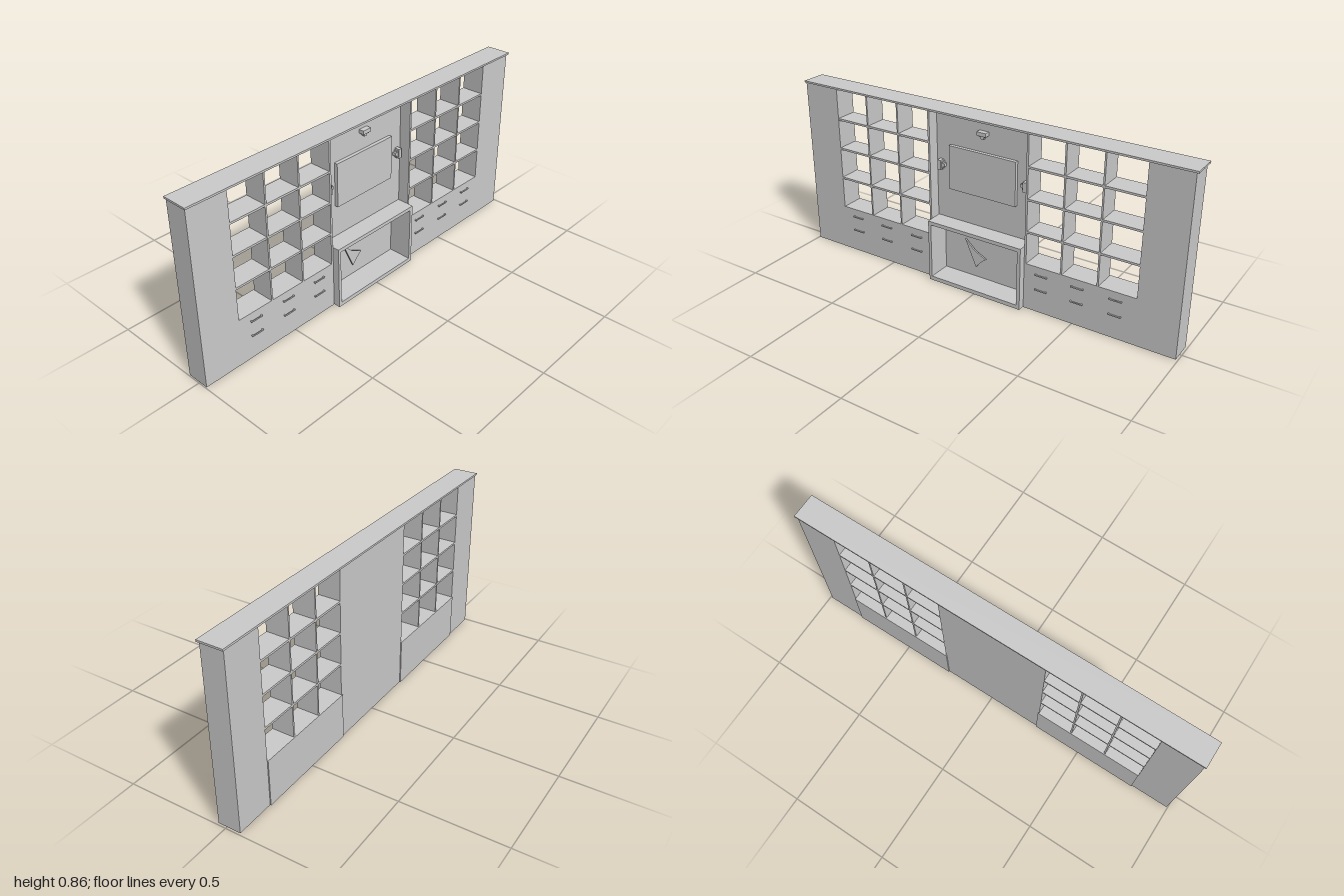
import * as THREE from 'three';

const material = new THREE.MeshStandardMaterial({ color: 0xcccccc, flatShading: true });

// Box given by its limits on each axis
function box(parent, name, x0, x1, y0, y1, z0, z1) {
  const mesh = new THREE.Mesh(new THREE.BoxGeometry(x1 - x0, y1 - y0, z1 - z0), material);
  mesh.position.set((x0 + x1) / 2, (y0 + y1) / 2, (z0 + z1) / 2);
  mesh.name = name;
  parent.add(mesh);
  return mesh;
}

const BACK = -0.067, FRONT = 0.043, TOP = 0.848, CABINET = 0.23, PANEL = -0.014;

// Low cabinet with drawer handles and an open grid of shelves above it
function bookcase(name, x0, x1, dividers, handles) {
  const group = new THREE.Group();
  group.name = name;
  box(group, 'cabinet', x0, x1, 0, CABINET, -0.072, FRONT);
  for (const y of [0.387, 0.543, 0.695]) {
    box(group, 'shelf', x0, x1, y - 0.005, y + 0.005, BACK, FRONT - 0.001);
  }
  for (const x of dividers) {
    box(group, 'divider', x - 0.004, x + 0.004, CABINET, TOP, BACK, FRONT);
  }
  // Bar handles on two short posts
  for (const x of handles) for (const y of [0.116, 0.191]) {
    const handle = new THREE.Group();
    handle.name = 'drawerHandle';
    box(handle, 'bar', x - 0.03, x + 0.03, y - 0.003, y + 0.003, 0.048, 0.052);
    for (const s of [-1, 1]) {
      box(handle, 'post', x + s * 0.027 - 0.003, x + s * 0.027 + 0.003, y - 0.003, y + 0.003, FRONT, 0.049);
    }
    group.add(handle);
  }
  return group;
}

// Small wall lamp: mounting bar with a stepped head pointing down
function wallLamp(name, x, y, angle) {
  const lamp = new THREE.Group();
  lamp.name = name;
  box(lamp, 'lampBar', -0.024, 0.024, -0.006, 0.012, PANEL, 0.012);
  box(lamp, 'lampNeck', -0.016, 0.016, -0.012, -0.006, PANEL, 0.006);
  box(lamp, 'lampHead', -0.008, 0.008, -0.022, -0.012, PANEL, 0.004);
  lamp.position.set(x, y, 0);
  lamp.rotation.z = angle;
  return lamp;
}

export function createModel() {
  const model = new THREE.Group();
  model.name = 'wallUnit';

  // End pillars and the top board
  box(model, 'rightPillar', -0.995, -0.803, 0, TOP, BACK, FRONT);
  box(model, 'leftPillar', 0.797, 0.99, 0, TOP, BACK, FRONT);
  box(model, 'topBoard', -1, 1, TOP, 0.857, -0.073, 0.05);

  // Bookcases on both sides
  model.add(bookcase('rightBookcase', -0.803, -0.262, [-0.621, -0.441], [-0.715, -0.533, -0.35]));
  model.add(bookcase('leftBookcase', 0.256, 0.797, [0.437, 0.614], [0.34, 0.52, 0.702]));

  // Recessed centre bay, thinner behind the fireplace
  const bay = new THREE.Group();
  bay.name = 'centreBay';
  box(bay, 'bayPanel', -0.262, 0.256, 0.305, TOP, BACK, PANEL);
  box(bay, 'bayBase', -0.262, 0.256, 0, 0.305, BACK, -0.043);
  for (const x of [-0.262, 0.256]) {
    box(bay, 'baySide', x - 0.005, x + 0.005, 0, TOP, BACK, FRONT);
  }
  model.add(bay);

  // Television with lamps around it
  box(model, 'television', -0.18, 0.174, 0.47, 0.685, PANEL, 0.003);
  model.add(wallLamp('upperLamp', 0, 0.775, 0));
  model.add(wallLamp('rightLamp', -0.228, 0.58, Math.PI / 2));
  model.add(wallLamp('leftLamp', 0.222, 0.58, -Math.PI / 2));

  // Fireplace surround: deep box with an open front
  const outline = new THREE.Shape([
    [-0.255, 0], [0.249, 0], [0.249, 0.313], [-0.255, 0.313],
  ].map(([x, y]) => new THREE.Vector2(x, y)));
  outline.holes.push(new THREE.Path([
    [-0.24, 0.02], [-0.24, 0.295], [0.232, 0.295], [0.232, 0.02],
  ].map(([x, y]) => new THREE.Vector2(x, y))));
  const surround = new THREE.Mesh(
    new THREE.ExtrudeGeometry(outline, { depth: 0.118, bevelEnabled: false }), material);
  surround.position.z = -0.043;
  surround.name = 'fireplaceSurround';
  model.add(surround);

  // Flame shard in front of the fireplace back
  const flameShape = new THREE.Shape([
    [-0.115, 0.215], [-0.055, 0.08], [-0.03, 0.11], [0, 0.135], [-0.06, 0.165],
  ].map(([x, y]) => new THREE.Vector2(x, y)));
  const flame = new THREE.Mesh(
    new THREE.ExtrudeGeometry(flameShape, { depth: 0.008, bevelEnabled: false }), material);
  flame.position.z = -0.035;
  flame.name = 'flame';
  model.add(flame);

  return model;
}
